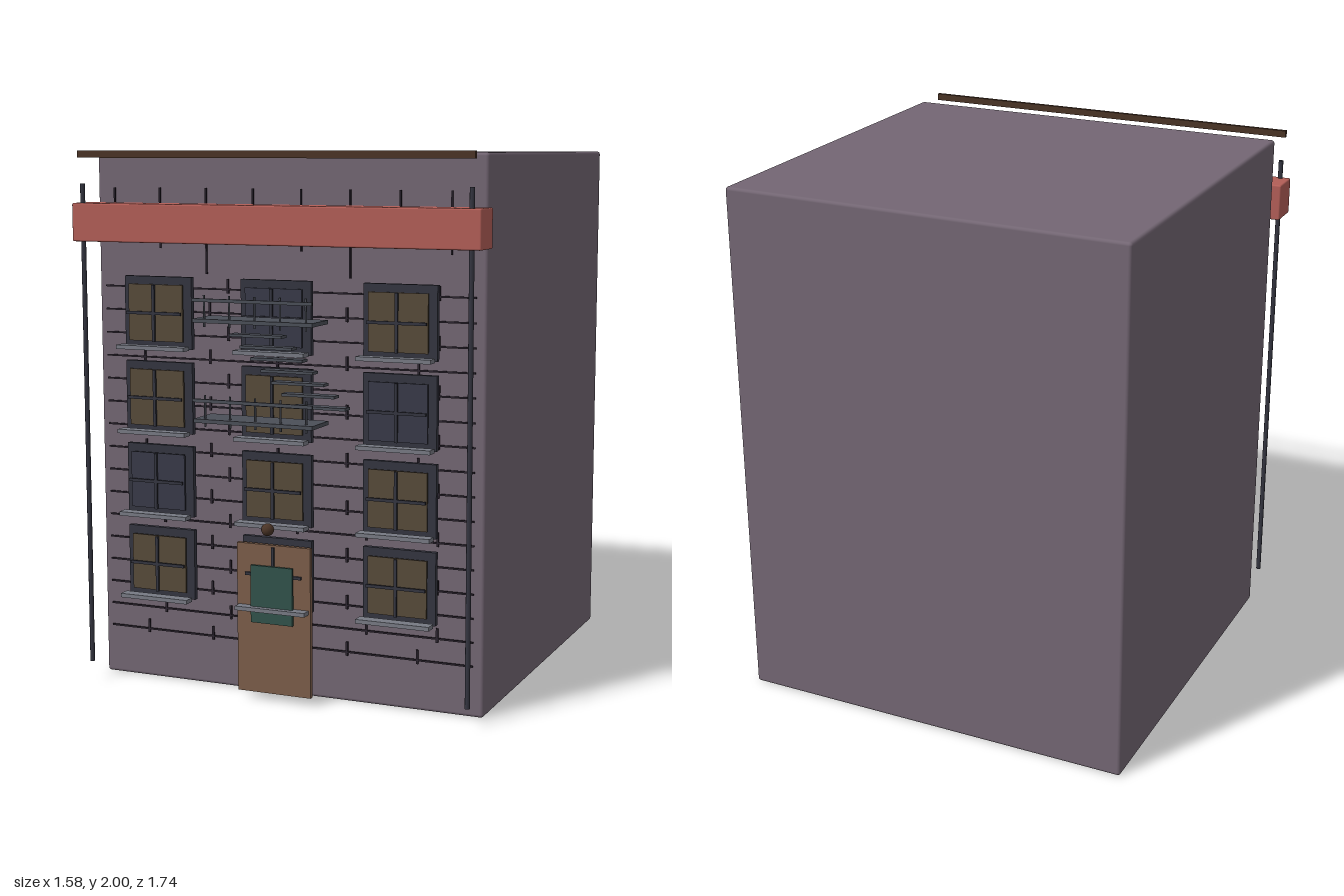
import * as THREE from 'three';
import { RoundedBoxGeometry } from 'three/addons/geometries/RoundedBoxGeometry.js';

const mat = (color) => new THREE.MeshStandardMaterial({ color });

export function createModel() {
  const root = new THREE.Group();
  const M = {
    wall: mat(0x736673), mortar: mat(0x2c2530), frame: mat(0x343540), lit: mat(0x574a3a),
    dark: mat(0x383a48), sill: mat(0x777a84), band: mat(0xb25e57), wood: mat(0x4a3426),
    door: mat(0x7b5d49), teal: mat(0x31524a), iron: mat(0x4b4f58),
  };

  const add = (parent, name, geometry, material, x, y, z) => {
    const mesh = new THREE.Mesh(geometry, material);
    mesh.name = name;
    mesh.position.set(x, y, z);
    parent.add(mesh);
    return mesh;
  };
  const box = (parent, name, material, w, h, d, x, y, z) =>
    add(parent, name, new THREE.BoxGeometry(w, h, d), material, x, y, z);
  const group = (name) => {
    const g = new THREE.Group();
    g.name = name;
    root.add(g);
    return g;
  };

  // Main block
  add(root, 'buildingBody', new RoundedBoxGeometry(1.53, 1.99, 1.455, 2, 0.012), M.wall, 0, 1, -0.1375);

  // Brick courses with staggered vertical joints
  const bricks = group('brickJoints');
  for (let i = 0; i < 16; i++) {
    const y = 0.195 + i * 0.087;
    box(bricks, 'course', M.mortar, 1.46, 0.006, 0.006, 0, y, 0.603);
    for (let k = 0; k < 5; k++) {
      box(bricks, 'joint', M.mortar, 0.008, 0.052, 0.006, (i % 2 ? -0.495 : -0.57) + k * 0.2725, y + 0.012, 0.603);
    }
  }

  // Vertical streaks behind the cornice band
  const streaks = group('streaks');
  const bottoms = [1.7, 1.645, 1.555];
  for (let i = 0; i < 8; i++) {
    const bottom = bottoms[i % 3];
    box(streaks, 'streak', M.mortar, 0.006, 1.865 - bottom, 0.006, -0.685 + i * 0.1893, (1.865 + bottom) / 2, 0.607);
  }

  // Windows: frame, pane, glazing bars and sill
  const darkPanes = ['0,1', '1,2', '2,0'];
  [1.413, 1.1, 0.79, 0.478].forEach((y, row) => {
    [-0.475, 0, 0.475].forEach((x, col) => {
      const g = group('window');
      g.position.set(x, y, 0);
      const pane = darkPanes.includes(`${row},${col}`) ? M.dark : M.lit;
      box(g, 'windowFrame', M.frame, 0.275, 0.264, 0.02, 0, 0, 0.66);
      box(g, 'windowPane', pane, 0.222, 0.208, 0.008, 0, 0, 0.687);
      box(g, 'verticalBar', M.frame, 0.011, 0.208, 0.008, 0, 0, 0.706);
      box(g, 'horizontalBar', M.frame, 0.222, 0.011, 0.008, 0, 0, 0.706);
      box(g, 'windowSill', M.sill, 0.277, 0.015, 0.045, 0, -0.125, 0.718);
    });
  });

  // Entrance door, its glass and the lamp above
  box(root, 'door', M.door, 0.292, 0.555, 0.018, 0, 0.312, 0.693);
  box(root, 'doorGlass', M.teal, 0.166, 0.213, 0.01, -0.001, 0.407, 0.714);
  add(root, 'doorLamp', new THREE.SphereGeometry(0.023, 16, 12), M.wood, 0, 0.657, 0.748);

  // Cornice band, roof trim and drainpipes
  add(root, 'corniceBand', new RoundedBoxGeometry(1.58, 0.14, 0.125, 2, 0.006), M.band, 0, 1.74, 0.677);
  box(root, 'roofTrim', M.wood, 1.53, 0.026, 0.016, 0, 1.987, 0.727);
  for (const s of [-1, 1]) {
    add(root, 'drainpipe', new THREE.CylinderGeometry(0.009, 0.009, 1.8, 10), M.frame, s * 0.752, 0.98, 0.723);
  }

  // Fire escape platforms with railings
  for (const y of [1.41, 1.055]) {
    const g = group('fireEscapePlatform');
    box(g, 'platform', M.iron, 0.46, 0.014, 0.138, 0, y, 0.799);
    box(g, 'topRail', M.iron, 0.46, 0.012, 0.01, 0, y + 0.073, 0.866);
    for (let i = -2; i <= 2; i++) {
      add(g, 'railPost', new THREE.CylinderGeometry(0.004, 0.004, 0.112, 6), M.iron, i * 0.098, y + 0.033, 0.842);
    }
  }

  // Stair treads between the platforms
  const stair = group('stair');
  for (let i = 0; i < 7; i++) {
    box(stair, 'tread', M.iron, 0.2, 0.01, 0.044, -0.005 + i * 0.04, 1.36 - i * 0.04, 0.807);
  }
  return root;
}
